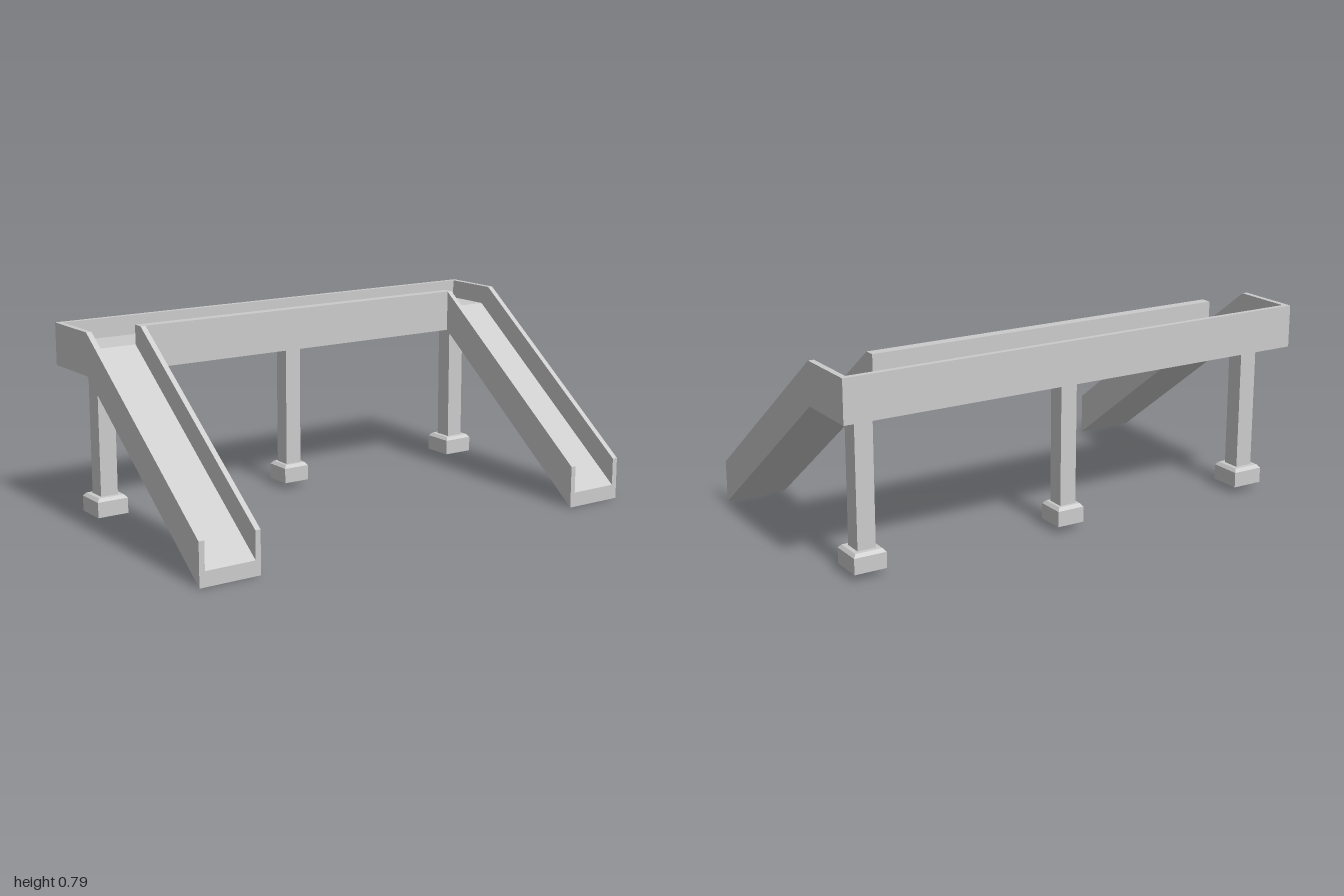
import * as THREE from 'three';

const material = new THREE.MeshStandardMaterial({ color: 0xcccccc, flatShading: true });

// Extrudes a side profile of [z, y] points across x0..x1.
function slab(name, profile, x0, x1) {
  const shape = new THREE.Shape(profile.map(([z, y]) => new THREE.Vector2(z, y)));
  const geometry = new THREE.ExtrudeGeometry(shape, { depth: x1 - x0, bevelEnabled: false });
  geometry.rotateY(-Math.PI / 2).translate(x1, 0, 0);
  const mesh = new THREE.Mesh(geometry, material);
  mesh.name = name;
  return mesh;
}

// Box given by its limits on each axis.
function block(name, [x0, x1], [y0, y1], [z0, z1]) {
  const mesh = new THREE.Mesh(new THREE.BoxGeometry(x1 - x0, y1 - y0, z1 - z0), material);
  mesh.position.set((x0 + x1) / 2, (y0 + y1) / 2, (z0 + z1) / 2);
  mesh.name = name;
  return mesh;
}

// Square pillar on a footing with a chamfered top.
function pillar(x, half, footHalf) {
  const group = new THREE.Group();
  group.name = 'pillar';
  const chamfer = new THREE.CylinderGeometry(
    (footHalf - 0.011) * Math.SQRT2, footHalf * Math.SQRT2, 0.013, 4, 1, false, Math.PI / 4);
  const cap = new THREE.Mesh(chamfer, material);
  cap.name = 'footingChamfer';
  cap.position.y = 0.0965;
  group.add(
    block('column', [-half, half], [0.1, 0.615], [-half, half]),
    block('footing', [-footHalf, footHalf], [0.027, 0.09], [-footHalf, footHalf]),
    cap,
  );
  group.position.set(x, 0, -0.411);
  return group;
}

export function createModel() {
  const model = new THREE.Group();
  model.name = 'footbridge';

  const bottom = 0.617, floor = 0.709, top = 0.787;
  const front = 0.545, bend = -0.276, inner = -0.32, back = -0.545, backInner = -0.523;

  // Side profiles shared by both ramps
  const outerWall = [[front, 0], [front, 0.172], [bend, top], [back, top], [back, bottom], [bend, bottom]];
  const innerWall = [[front, 0], [front, 0.172], [bend, top], [inner, top], [inner, bottom], [bend, bottom]];
  const rampFloor = [[front, 0], [front, 0.06], [inner, floor], [backInner, floor], [backInner, bottom], [bend, bottom]];

  // Ramps with their side walls, mirrored
  for (const side of [-1, 1]) {
    const span = (a, b) => (side > 0 ? [a, b] : [-b, -a]);
    const ramp = new THREE.Group();
    ramp.name = side > 0 ? 'leftRamp' : 'rightRamp';
    ramp.add(
      slab('outerWall', outerWall, ...span(0.977, 1)),
      slab('rampFloor', rampFloor, ...span(0.768, 0.977)),
      slab('innerWall', innerWall, ...span(0.746, 0.768)),
    );
    model.add(ramp);
  }

  // Deck with its front and back parapets
  model.add(
    block('deck', [-0.768, 0.768], [bottom, floor], [backInner, inner]),
    block('frontParapet', [-0.746, 0.746], [bottom, top], [inner, bend]),
    block('backParapet', [-0.977, 0.977], [bottom, top], [back, backInner]),
  );

  // Pillars under the deck, the middle one slightly slimmer
  for (const x of [-0.875, 0.875]) model.add(pillar(x, 0.037, 0.066));
  model.add(pillar(0, 0.035, 0.058));

  return model;
}
